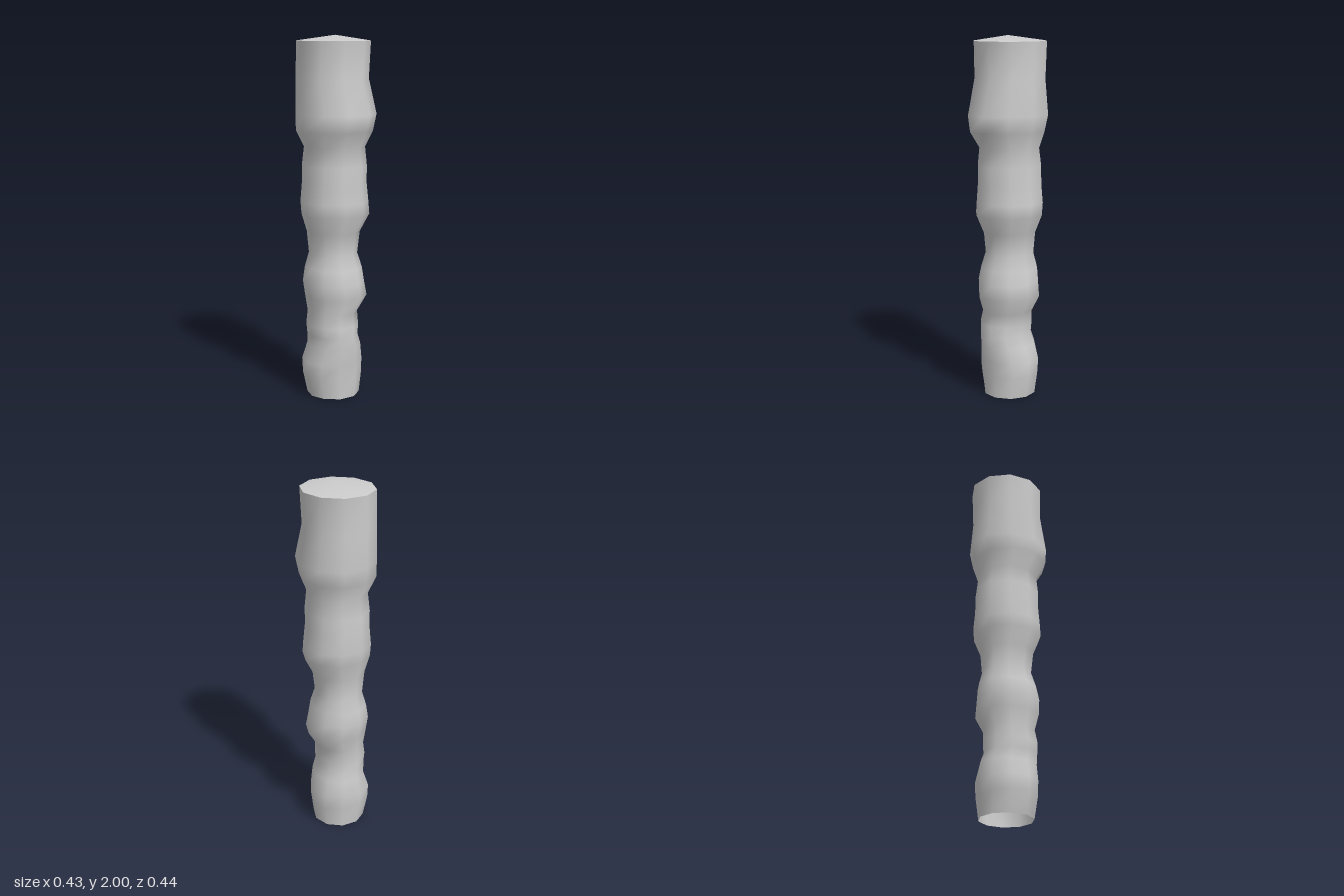
import * as THREE from 'three';

const SIDES = 10;

// Cross-sections from bottom to top: height, left/right extent in x, back/front extent in z
const RINGS = [
  [0.00, -0.15, 0.14, -0.155, 0.125],
  [0.12, -0.18, 0.16, -0.165, 0.13],
  [0.20, -0.18, 0.16, -0.175, 0.135],
  [0.29, -0.15, 0.135, -0.16, 0.15],
  [0.35, -0.155, 0.115, -0.145, 0.145],
  [0.41, -0.16, 0.12, -0.15, 0.145],
  [0.48, -0.15, 0.12, -0.145, 0.13],
  [0.57, -0.165, 0.175, -0.17, 0.165],
  [0.65, -0.175, 0.16, -0.175, 0.16],
  [0.73, -0.16, 0.15, -0.17, 0.145],
  [0.81, -0.135, 0.125, -0.15, 0.12],
  [0.93, -0.15, 0.14, -0.155, 0.13],
  [1.03, -0.185, 0.19, -0.18, 0.175],
  [1.10, -0.185, 0.187, -0.19, 0.17],
  [1.20, -0.175, 0.175, -0.185, 0.165],
  [1.30, -0.175, 0.175, -0.183, 0.165],
  [1.40, -0.165, 0.165, -0.17, 0.155],
  [1.49, -0.215, 0.20, -0.20, 0.205],
  [1.58, -0.21, 0.215, -0.22, 0.225],
  [1.77, -0.205, 0.19, -0.205, 0.17],
  [1.97, -0.20, 0.197, -0.212, 0.182],
];

// Points of one ten-sided ring fitted to its extents
function ringPoints([y, x0, x1, z0, z1]) {
  const reach = Math.sin(Math.PI * 0.4);
  const points = [];
  for (let i = 0; i < SIDES; i++) {
    const a = (i / SIDES) * Math.PI * 2;
    points.push(
      (x0 + x1) / 2 + ((x1 - x0) / 2) * Math.cos(a),
      y,
      (z0 + z1) / 2 + ((z1 - z0) / 2 / reach) * Math.sin(a),
    );
  }
  return points;
}

function smoothMesh(name, positions, index, material) {
  const geometry = new THREE.BufferGeometry();
  geometry.setAttribute('position', new THREE.Float32BufferAttribute(positions, 3));
  geometry.setIndex(index);
  geometry.computeVertexNormals();
  const mesh = new THREE.Mesh(geometry, material);
  mesh.name = name;
  return mesh;
}

export function createModel() {
  const group = new THREE.Group();
  group.name = 'lumpyColumn';
  const grey = new THREE.MeshStandardMaterial({ color: 0xcccccc, side: THREE.DoubleSide });
  grey.name = 'light grey';

  // Bulging shaft, open at the foot
  const positions = RINGS.flatMap(ringPoints);
  const index = [];
  for (let r = 0; r < RINGS.length - 1; r++) {
    for (let i = 0; i < SIDES; i++) {
      const j = (i + 1) % SIDES;
      const a = r * SIDES + i, b = r * SIDES + j;
      const c = a + SIDES, d = b + SIDES;
      index.push(a, c, b, b, c, d);
    }
  }
  group.add(smoothMesh('shaft', positions, index, grey));

  // Low pointed cap with a hard edge to the shaft
  const capPositions = [...ringPoints(RINGS[RINGS.length - 1]), 0, 2, 0];
  const capIndex = [];
  for (let i = 0; i < SIDES; i++) capIndex.push(i, SIDES, (i + 1) % SIDES);
  group.add(smoothMesh('topCap', capPositions, capIndex, grey));

  return group;
}
